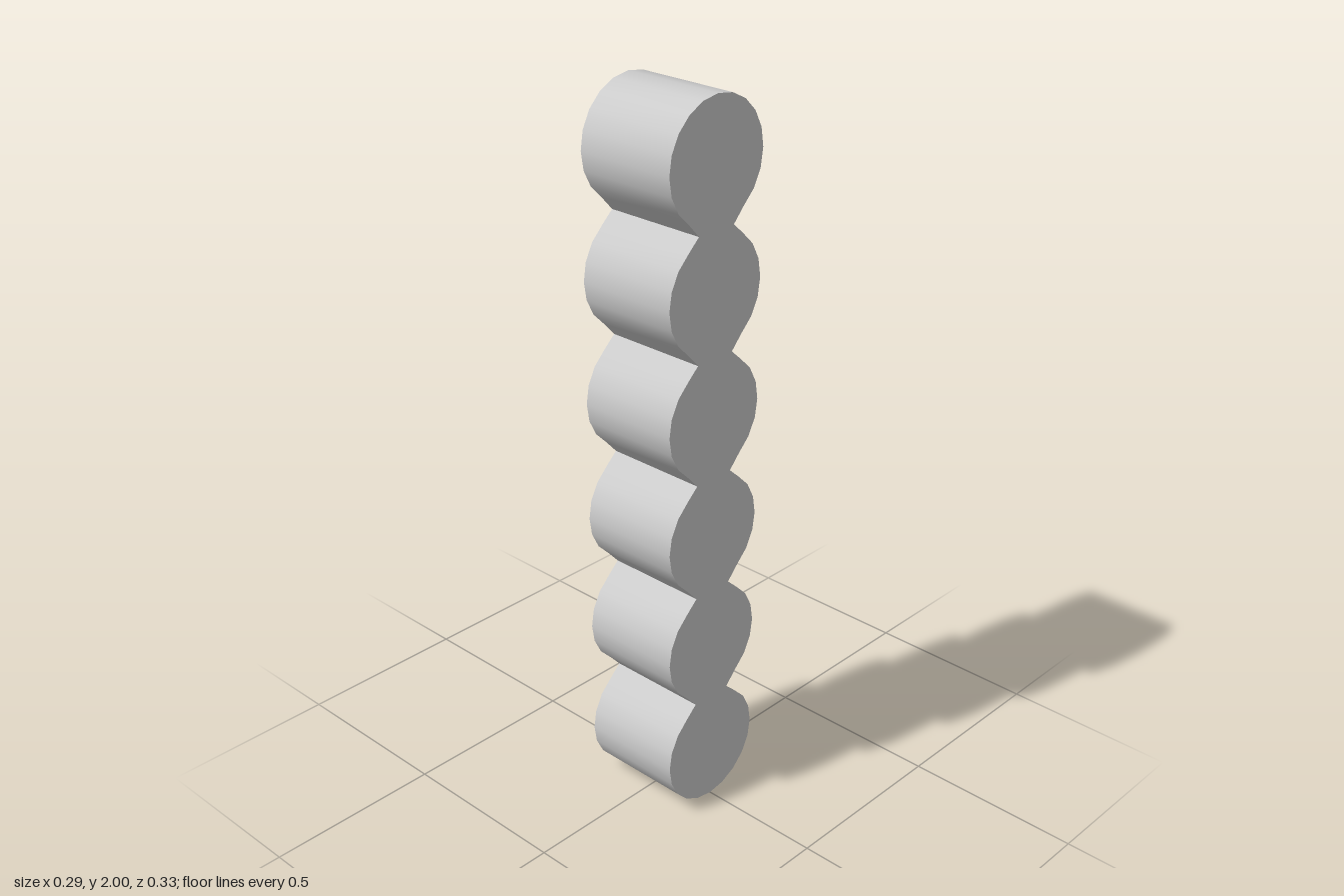
import * as THREE from 'three';
import { toCreasedNormals } from 'three/addons/utils/BufferGeometryUtils.js';

const LOBES = 6;
const RADIUS = 0.164;
const WIDTH = 0.292;
const NECK = 0.062; // half depth where two lobes meet
const PITCH = (2 - 2 * RADIUS) / (LOBES - 1);

// One side of the outline, from the lowest point to the highest
function sideOutline() {
  const points = [];
  for (let i = 0; i < LOBES; i++) {
    const centre = RADIUS + i * PITCH;
    const first = i === 0 ? -5 : -3;
    const last = i === LOBES - 1 ? 5 : 3;
    for (let k = first; k <= last; k++) {
      const a = (k * Math.PI) / 10;
      points.push(new THREE.Vector2(RADIUS * Math.cos(a), centre + RADIUS * Math.sin(a)));
    }
    if (i < LOBES - 1) points.push(new THREE.Vector2(NECK, centre + PITCH / 2 - 0.003));
  }
  return points;
}

export function createModel() {
  const group = new THREE.Group();
  group.name = 'lobedColumn';

  // Mirror the side to close the outline, then extrude it across the width
  const side = sideOutline();
  const mirrored = side.slice(1, -1).reverse().map((p) => new THREE.Vector2(-p.x, p.y));
  const shape = new THREE.Shape([...side, ...mirrored]);
  const extruded = new THREE.ExtrudeGeometry(shape, { depth: WIDTH, bevelEnabled: false });
  extruded.translate(0, 0, -WIDTH / 2);
  extruded.rotateY(Math.PI / 2);

  // Smooth lobes with sharp necks and end faces
  const column = new THREE.Mesh(
    toCreasedNormals(extruded, 0.6),
    new THREE.MeshStandardMaterial({ color: 0xcccccc })
  );
  column.name = 'stackedLobes';
  group.add(column);
  return group;
}
